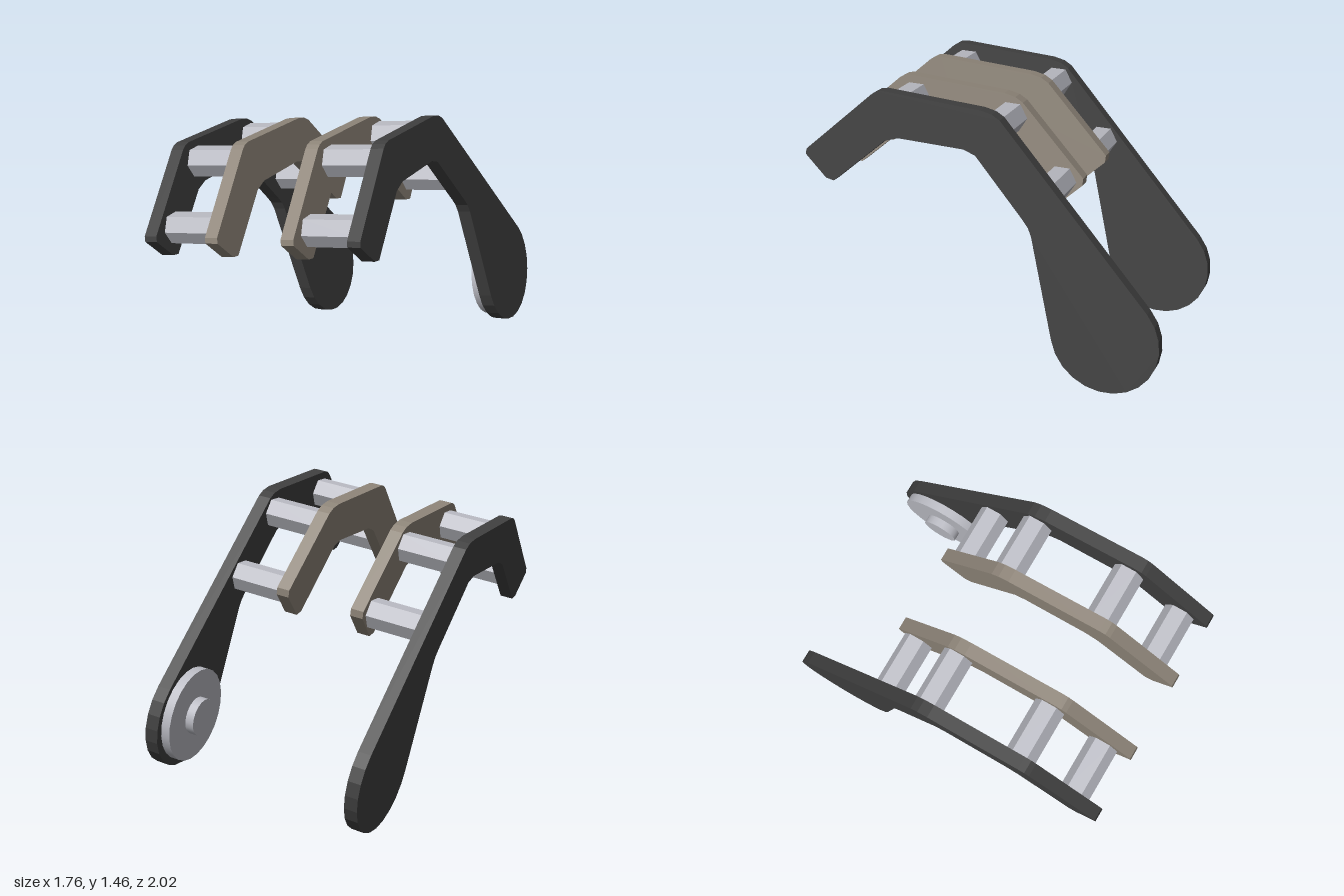
import * as THREE from 'three';

const charcoal = new THREE.MeshStandardMaterial({ color: 0x404040 });
charcoal.name = 'charcoal';
const taupe = new THREE.MeshStandardMaterial({ color: 0x8f867a });
taupe.name = 'taupe';
const steel = new THREE.MeshStandardMaterial({ color: 0xbcbdc5 });
steel.name = 'steel';

// All plates are parallel; N is their common normal.
const SY = 0.17, SZ = 0.362, C = 0.705, T = 0.065;
const N = new THREE.Vector3(1, SY, SZ).normalize();
const PAIR = 0.33;      // spacing between the plates of one side
const SIDE = 1.055;     // spacing between the two sides

// Point on the plate plane, moved d along the normal
const onPlane = (z, y, d) => new THREE.Vector3(C - SY * y - SZ * z, y, z).addScaledVector(N, d);

// Outlines, given as [-z, y] on the plate plane
const frontInner = [
  [-0.995, 1.126], [-1.0, 1.1], [-0.905, 0.998], [-0.867, 0.99],
  [-0.615, 1.222], [-0.55, 1.244], [-0.246, 1.238], [-0.193, 1.217],
];
const topOuter = [[-0.08, 1.398], [-0.115, 1.42], [-0.166, 1.432], [-0.615, 1.457], [-0.645, 1.451], [-0.668, 1.436]];

// Paddle end of the lever
const HUB = { z: -0.395, y: 0.43 };
const paddle = [];
for (let i = 0; i <= 14; i++) {
  const a = THREE.MathUtils.degToRad(190 + (210 * i) / 14);
  paddle.push([-HUB.z + 0.246 * Math.cos(a), HUB.y + 0.258 * Math.sin(a)]);
}
const leverOutline = [...frontInner, [0.02, 0.95], [0.045, 0.915], [0.06, 0.875], ...paddle, ...topOuter];
const bracketOutline = [...frontInner, [0.045, 0.94], [0.085, 0.93], [0.198, 1.04], [0.202, 1.075], ...topOuter];

function plate(name, outline, material, d) {
  const shape = new THREE.Shape(outline.map(([a, b]) => new THREE.Vector2(a, b)));
  const geo = new THREE.ExtrudeGeometry(shape, { depth: T, bevelEnabled: false });
  const m = new THREE.Matrix4().makeBasis(
    new THREE.Vector3(SZ, 0, -1), new THREE.Vector3(-SY, 1, 0), N);
  m.setPosition(onPlane(0, 0, d - T));
  geo.applyMatrix4(m);
  const mesh = new THREE.Mesh(geo, material);
  mesh.name = name;
  return mesh;
}

// Cylinder along the normal, from distance d0 to d1
const V = new THREE.Vector3(0, 1, 0).addScaledVector(N, -N.y).normalize();
const U = new THREE.Vector3().crossVectors(V, N);
function pin(name, z, y, radius, d0, d1, sides) {
  let geo = new THREE.CylinderGeometry(radius, radius, d1 - d0, sides);
  geo.rotateX(Math.PI / 2).rotateZ(Math.PI / 6);
  if (sides < 8) {
    geo = geo.toNonIndexed();
    geo.computeVertexNormals();
  }
  const m = new THREE.Matrix4().makeBasis(U, V, N);
  m.setPosition(onPlane(z, y, (d0 + d1) / 2));
  geo.applyMatrix4(m);
  const mesh = new THREE.Mesh(geo, steel);
  mesh.name = name;
  return mesh;
}

const spacers = [[0.86, 1.12], [0.59, 1.355], [0.13, 1.325], [-0.1, 1.05]];

function sideAssembly(name, leverD, bracketD) {
  const g = new THREE.Group();
  g.name = name;
  g.add(plate('lever', leverOutline, charcoal, leverD));
  g.add(plate('bracket', bracketOutline, taupe, bracketD));
  const d0 = Math.min(leverD, bracketD), d1 = Math.max(leverD, bracketD) - T;
  // Hexagonal spacers bridge the gap between the plates
  for (const [z, y] of spacers) g.add(pin('spacer', z, y, 0.075, d0, d1, 6));
  return g;
}

export function createModel() {
  const model = new THREE.Group();
  model.name = 'leverFrame';
  const left = sideAssembly('leftSide', 0, -PAIR);
  // Round pad and its button on the inner face of the left lever
  left.add(pin('pad', HUB.z, HUB.y, 0.23, -T - 0.045, -T, 24));
  left.add(pin('button', HUB.z, HUB.y, 0.092, -T - 0.088, -T - 0.045, 20));
  model.add(left, sideAssembly('rightSide', -SIDE, PAIR - SIDE));
  return model;
}
